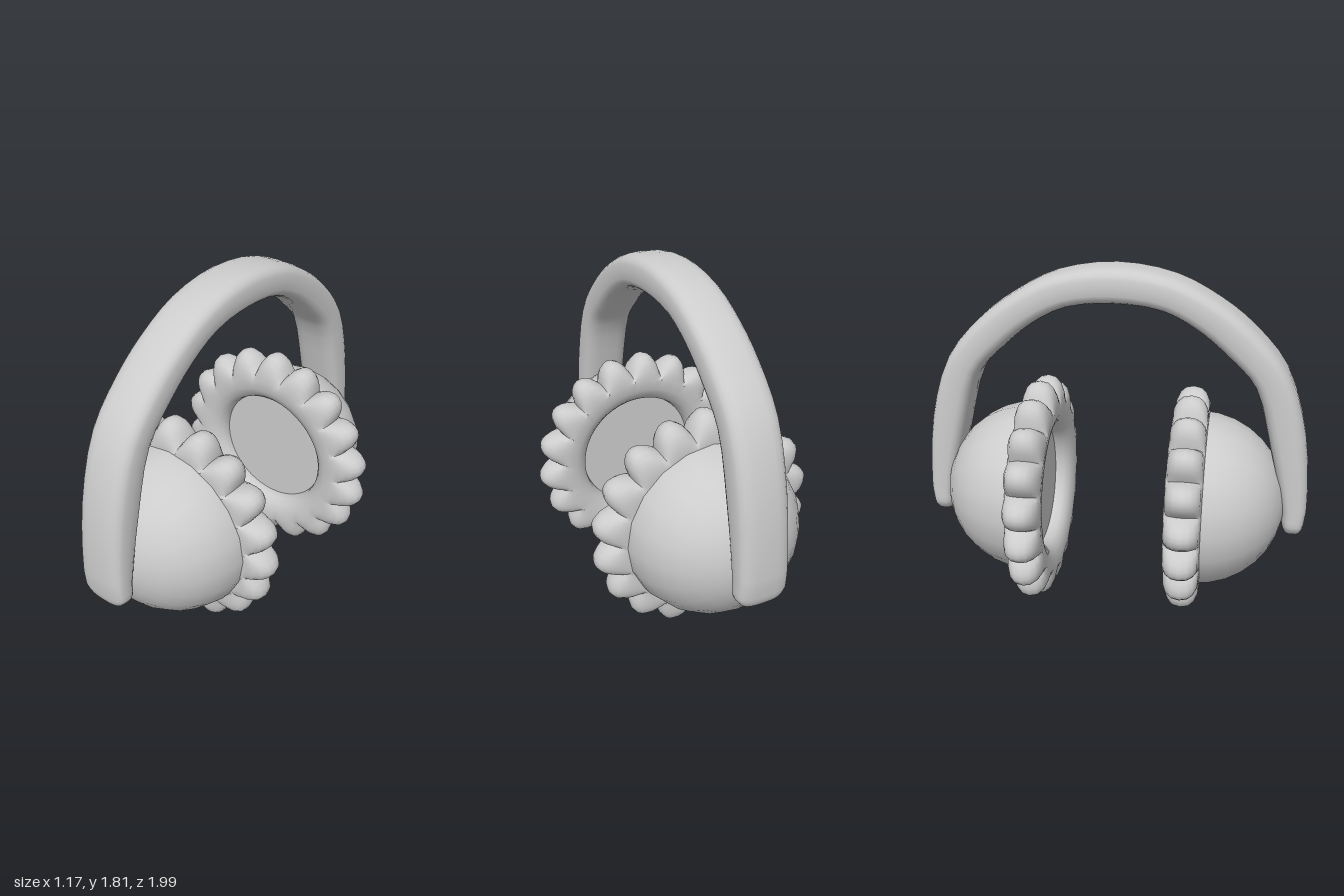
import * as THREE from 'three';
import { toCreasedNormals } from 'three/addons/utils/BufferGeometryUtils.js';

const grey = new THREE.MeshStandardMaterial({ color: 0xcccccc });
grey.name = 'grey';

// Skin a series of closed cross-sections; closed joins the last to the first
function loft(sections, closed) {
  const n = sections[0].length, m = sections.length, index = [];
  for (let i = 0; i < (closed ? m : m - 1); i++) {
    for (let j = 0; j < n; j++) {
      const a = i * n + j, b = ((i + 1) % m) * n + j;
      const d = i * n + (j + 1) % n, c = ((i + 1) % m) * n + (j + 1) % n;
      index.push(a, b, c, a, c, d);
    }
  }
  const g = new THREE.BufferGeometry();
  g.setAttribute('position', new THREE.Float32BufferAttribute(sections.flat(2), 3));
  g.setIndex(index);
  g.computeVertexNormals();
  return g;
}

function part(name, geometry) {
  const mesh = new THREE.Mesh(geometry, grey);
  mesh.name = name;
  return mesh;
}

const soft = (v, e) => Math.sign(v) * Math.abs(v) ** e;

// Puffy ring whose outer half is gathered into 18 scallops
function scallopedRing(outer, phase) {
  const bumps = 18, steps = 8, sides = 16, sections = [];
  for (let i = 0; i < bumps * steps; i++) {
    const t = i / (bumps * steps) * Math.PI * 2;
    const b = Math.abs(Math.cos(bumps * t / 2)) ** 0.8;
    const section = [];
    for (let j = 0; j < sides; j++) {
      const f = j / sides * Math.PI * 2;
      const c = soft(Math.cos(f), 0.85), s = soft(Math.sin(f), 0.85);
      const reach = c > 0 ? outer - 0.45 - 0.09 * (1 - b) : 0.13;
      const r = 0.45 + c * reach;
      const z = 0.091 * s * (1 - 0.3 * (1 - b) * Math.max(0, c));
      section.push([r * Math.cos(t + phase), r * Math.sin(t + phase), z]);
    }
    sections.push(section);
  }
  return toCreasedNormals(loft(sections, true), 0.75);
}

function earCup(name, outer, phase) {
  const cup = new THREE.Group();
  cup.name = name;
  const dome = part('dome', new THREE.SphereGeometry(0.453, 20, 8, 0, Math.PI * 2, 0, Math.PI / 2).rotateX(Math.PI / 2));
  dome.position.z = 0.432;
  const ring = part('scallopedRing', scallopedRing(outer, phase));
  ring.position.z = 0.385;
  const pad = part('innerPad', new THREE.CircleGeometry(0.38, 20).rotateY(Math.PI));
  pad.position.z = 0.39;
  cup.add(dome, ring, pad);
  cup.position.y = 0.6;
  return cup;
}

// Arched band: outer and inner edge as [z, y], from one end to the crown
function headband() {
  const outer = [[0.99, 0.52], [0.997, 0.62], [0.96, 1.0], [0.85, 1.33], [0.675, 1.535], [0.51, 1.66], [0.29, 1.77], [0, 1.815]];
  const inner = [[0.87, 0.52], [0.862, 0.6], [0.78, 0.95], [0.69, 1.25], [0.56, 1.39], [0.41, 1.515], [0.235, 1.605], [0, 1.632]];
  const curve = pts => new THREE.CatmullRomCurve3(
    [...pts, ...pts.slice(0, -1).reverse().map(([z, y]) => [-z, y])].map(([z, y]) => new THREE.Vector3(0, y, z)));
  const a = curve(outer), b = curve(inner), sections = [], sides = 24, steps = 42;

  const addSection = (t, drop, scale) => {
    const o = a.getPoint(t), i = b.getPoint(t);
    const mid = o.clone().add(i).multiplyScalar(0.5), half = o.sub(i).multiplyScalar(0.5);
    const section = [];
    for (let k = 0; k < sides; k++) {
      const f = k / sides * Math.PI * 2;
      const c = soft(Math.cos(f), 0.65) * scale, s = soft(Math.sin(f), 0.65) * scale;
      section.push([-0.13 * s, mid.y + half.y * c - drop, mid.z + half.z * c]);
    }
    sections.push(section);
  };

  // Rounded tips at both ends
  const tip = [[0.07, 0], [0.066, 0.45], [0.048, 0.78], [0.022, 0.94]];
  tip.forEach(([drop, scale]) => addSection(0, drop, scale));
  for (let i = 0; i <= steps; i++) addSection(i / steps, 0, 1);
  tip.reverse().forEach(([drop, scale]) => addSection(1, drop, scale));
  return loft(sections, false);
}

export function createModel() {
  const model = new THREE.Group();
  model.name = 'earmuffs';
  const front = earCup('frontEarCup', 0.58, -5 * Math.PI / 180);
  const back = earCup('backEarCup', 0.595, Math.PI / 2);
  back.rotation.y = Math.PI;
  back.position.z = -0.012;
  model.add(part('headband', headband()), front, back);
  return model;
}
